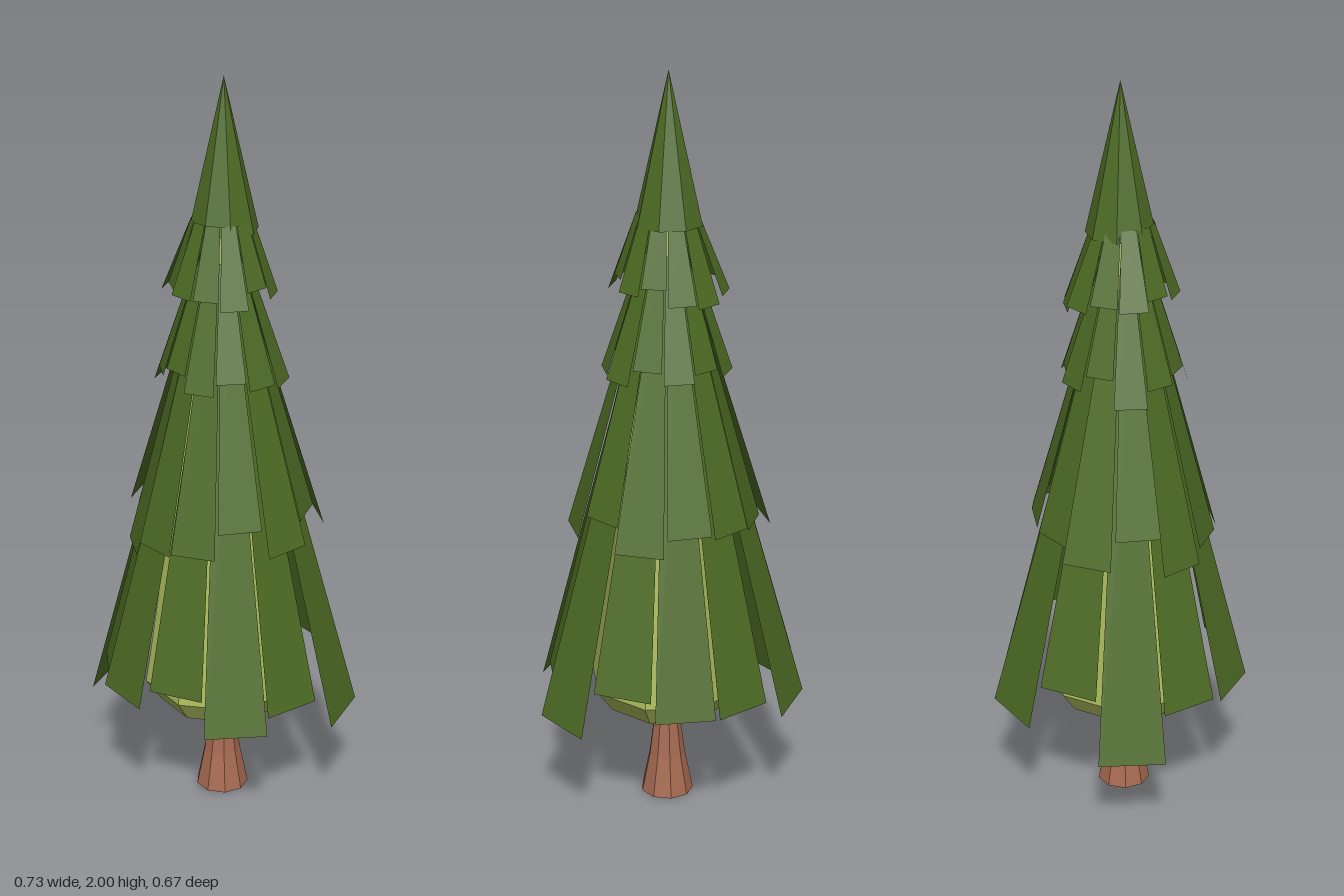
import * as THREE from 'three';

const mat = (name, color, side = THREE.FrontSide) => {
  const m = new THREE.MeshStandardMaterial({ color, flatShading: true, side });
  m.name = name;
  return m;
};

export function createModel() {
  const tree = new THREE.Group();
  tree.name = 'pineTree';
  const bark = mat('bark brown', 0xa86b52);
  const needle = mat('dark needle green', 0x4d6b24, THREE.DoubleSide);
  const core = mat('light inner green', 0xacbc5c);

  // Lathe with flat facets from [radius, y] pairs, bottom to top
  const turned = (name, pairs, sides, material, turn = 0) => {
    const pts = pairs.map(([r, y]) => new THREE.Vector2(r, y));
    const mesh = new THREE.Mesh(new THREE.LatheGeometry(pts, sides, turn), material);
    mesh.name = name;
    tree.add(mesh);
    return mesh;
  };

  turned('trunk', [[0, 0], [0.072, 0], [0.05, 0.11], [0.036, 0.22], [0.033, 0.3]], 9, bark);
  turned('innerFoliage',
    [[0, 0.245], [0.07, 0.248], [0.17, 0.28], [0.212, 0.34], [0.198, 0.43], [0.03, 1.6], [0, 1.6]], 8, core);

  // Pointed top
  const tip = turned('treeTop', [[0.09, 1.61], [0, 2]], 8, needle);
  tip.position.z = -0.008;

  // One flat branch panel, widening downwards and leaning out
  const panel = (angle, top, bottom, spread) => {
    const corners = [];
    for (const [r, y] of [top, bottom]) {
      for (const s of [-1, 1]) corners.push(r, y, s * r * spread);
    }
    const g = new THREE.BufferGeometry();
    g.setAttribute('position', new THREE.Float32BufferAttribute(corners, 3));
    g.setIndex([0, 1, 3, 0, 3, 2]);
    g.computeVertexNormals();
    const mesh = new THREE.Mesh(g, needle);
    mesh.name = 'branchPanel';
    mesh.rotation.y = THREE.MathUtils.degToRad(angle);
    return mesh;
  };

  // Tiers of twelve panels: start angle, top [radius, y], tip radii and tip heights
  const tiers = [
    { name: 'lowestBranches', start: 9.5, top: [0.085, 1.32],
      r: [0.358, 0.32, 0.319, 0.32, 0.36, 0.327, 0.355, 0.313, 0.329, 0.3, 0.334, 0.313],
      y: [0.3, 0.42, 0.36, 0.36, 0.325, 0.44, 0.26, 0.38, 0.375, 0.42, 0.33, 0.37] },
    { name: 'lowerBranches', start: 15, top: [0.06, 1.48],
      r: [0.234, 0.263, 0.237, 0.239, 0.237, 0.267, 0.236, 0.24, 0.235, 0.238, 0.23, 0.255],
      y: [0.86, 0.8, 0.84, 0.83, 0.82, 0.79, 0.86, 0.75, 0.79, 0.8, 0.87, 0.8] },
    { name: 'upperBranches', start: 12, top: [0.062, 1.54],
      r: [0.17, 0.155, 0.16, 0.152, 0.165, 0.15, 0.172, 0.158, 0.15, 0.162, 0.155, 0.165],
      y: [1.22, 1.26, 1.23, 1.25, 1.23, 1.27, 1.2, 1.24, 1.26, 1.22, 1.25, 1.23] },
    { name: 'topBranches', start: 16, top: [0.076, 1.64],
      r: [0.138, 0.13, 0.148, 0.15, 0.155, 0.145, 0.15, 0.132, 0.14, 0.135, 0.146, 0.13],
      y: [1.45, 1.47, 1.43, 1.42, 1.44, 1.46, 1.45, 1.47, 1.46, 1.46, 1.44, 1.48] },
  ];
  for (const t of tiers) {
    const ring = new THREE.Group();
    ring.name = t.name;
    t.r.forEach((r, i) => ring.add(panel(t.start + i * 30, t.top, [r, t.y[i]], 0.25)));
    tree.add(ring);
  }
  return tree;
}
